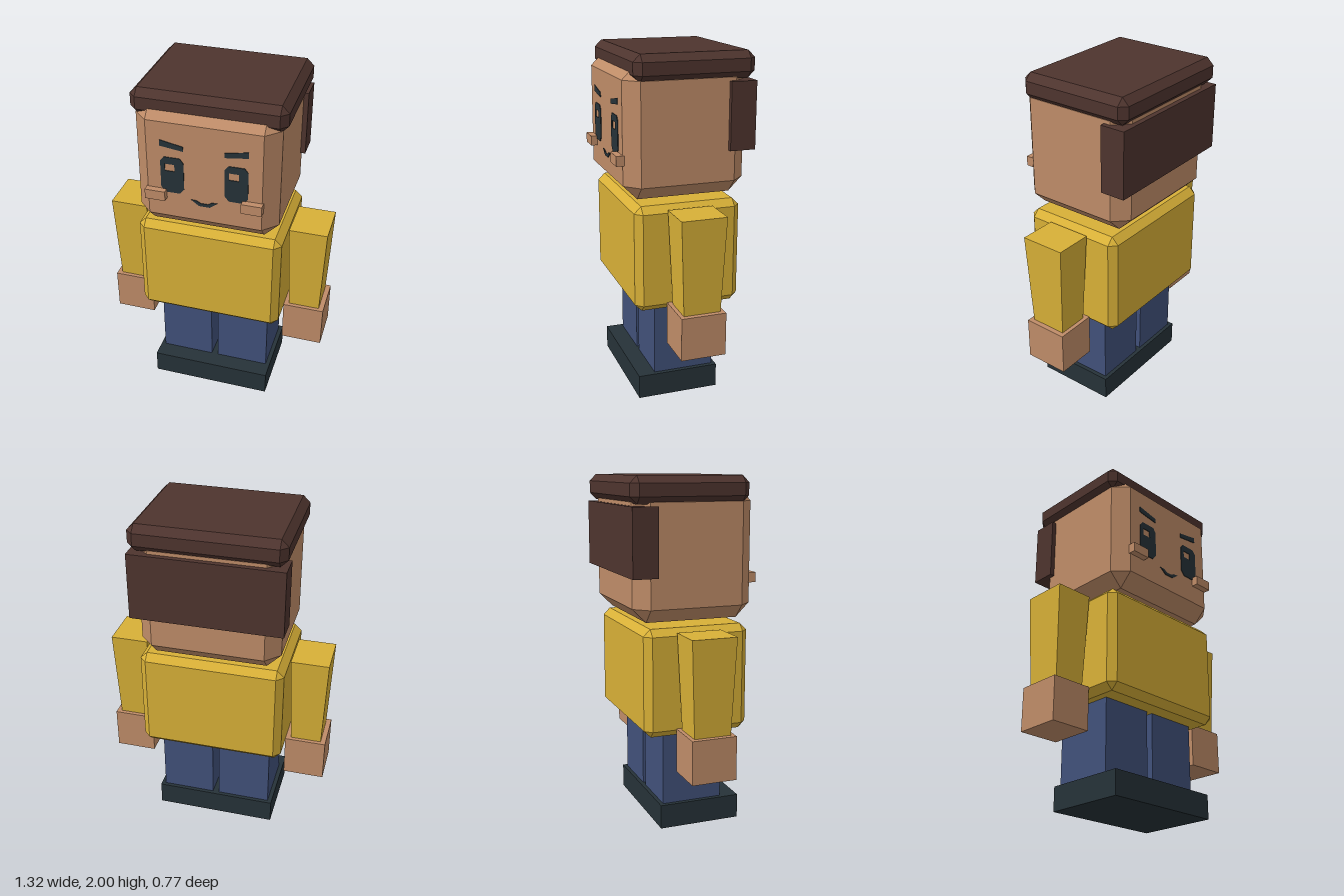
import * as THREE from 'three';
import { ConvexGeometry } from 'three/addons/geometries/ConvexGeometry.js';

function paint(name, color) {
  const m = new THREE.MeshStandardMaterial({ color });
  m.name = name;
  return m;
}

export function createModel() {
  const skin = paint('skin', 0xbf8c68);
  const hair = paint('hair brown', 0x4e342e);
  const shirt = paint('shirt yellow', 0xd8b037);
  const denim = paint('trouser blue', 0x41517a);
  const dark = paint('dark slate', 0x263238);

  const model = new THREE.Group();
  model.name = 'blockyMan';
  const figure = new THREE.Group();
  figure.name = 'figure';
  figure.position.z = -0.005;
  model.add(figure);

  function add(name, geometry, material) {
    const mesh = new THREE.Mesh(geometry, material);
    mesh.name = name;
    figure.add(mesh);
    return mesh;
  }

  // Plain box given by its limits on each axis
  function box(x0, x1, y0, y1, z0, z1) {
    return new THREE.BoxGeometry(x1 - x0, y1 - y0, z1 - z0)
      .translate((x0 + x1) / 2, (y0 + y1) / 2, (z0 + z1) / 2);
  }

  // Box with all edges cut at 45 degrees
  function chamferBox(x0, x1, y0, y1, z0, z1, c) {
    const h = [(x1 - x0) / 2, (y1 - y0) / 2, (z1 - z0) / 2];
    const points = [];
    for (const sx of [-1, 1]) for (const sy of [-1, 1]) for (const sz of [-1, 1]) {
      for (let axis = 0; axis < 3; axis++) {
        const p = h.map((v, i) => (i === axis ? v : v - c));
        points.push(new THREE.Vector3(sx * p[0], sy * p[1], sz * p[2]));
      }
    }
    return new ConvexGeometry(points)
      .translate((x0 + x1) / 2, (y0 + y1) / 2, (z0 + z1) / 2);
  }

  // Thin painted plate on the front of the head
  function plate(points, hole) {
    const toVectors = (list) => list.map(([x, y]) => new THREE.Vector2(x, y));
    const shape = new THREE.Shape(toVectors(points));
    if (hole) shape.holes.push(new THREE.Path(toVectors(hole)));
    return new THREE.ExtrudeGeometry(shape, { depth: 0.004, bevelEnabled: false })
      .translate(0, 0, 0.35);
  }

  // Body
  add('shoes', box(-0.36, 0.36, 0, 0.14, -0.2, 0.28), dark);
  add('torso', chamferBox(-0.42, 0.42, 0.565, 1.18, -0.308, 0.308, 0.04), shirt);

  // Head and hair
  add('head', chamferBox(-0.4, 0.4, 1.205, 1.94, -0.35, 0.35, 0.08), skin);
  add('hairTop', chamferBox(-0.428, 0.428, 1.85, 2, -0.379, 0.308, 0.04), hair);
  add('hairBack', box(-0.428, 0.428, 1.46, 1.84, -0.379, -0.232), hair);

  for (const side of [1, -1]) {
    const label = side > 0 ? 'left' : 'right';

    // Legs
    add(label + 'Leg', box(0.02, 0.335, 0.14, 0.58, -0.178, 0.178), denim)
      .position.x = side > 0 ? 0 : -0.355;

    // Arm narrowing towards the hand
    const sleeve = new THREE.BoxGeometry(0.22, 0.56, 0.26);
    const pos = sleeve.attributes.position;
    for (let i = 0; i < pos.count; i++) {
      if (pos.getY(i) < 0) {
        pos.setX(i, pos.getX(i) * 0.82);
        pos.setZ(i, pos.getZ(i) * 0.82);
      }
    }
    sleeve.computeVertexNormals();
    add(label + 'Arm', sleeve, shirt).position.set(side * 0.54, 0.88, 0);
    add(label + 'Hand', new THREE.BoxGeometry(0.24, 0.25, 0.26), skin)
      .position.set(side * 0.54, 0.487, 0);

    // Cheek
    add(label + 'Cheek', new THREE.BoxGeometry(0.115, 0.057, 0.046), skin)
      .position.set(side * 0.27, 1.428, 0.365);

    // Eye with a square glint cut out, set to the same side on both eyes
    const outline = [[-0.065, 1.47], [-0.04, 1.44], [0.04, 1.44], [0.065, 1.47],
      [0.065, 1.63], [0.045, 1.656], [-0.045, 1.656], [-0.065, 1.63]];
    const glint = [[-0.04, 1.573], [-0.04, 1.615], [0.014, 1.615], [0.014, 1.573]];
    add(label + 'Eye', plate(outline, glint), dark).position.x = side * 0.178;

    // Eyebrow, lower towards the nose
    add(label + 'Eyebrow', plate([[0.113, 1.73], [0.113, 1.703], [0.243, 1.72], [0.243, 1.755]]
      .map(([x, y]) => [side * x, y])), dark);
  }

  // Smile
  add('mouth', plate([[-0.075, 1.413], [-0.03, 1.38], [0.03, 1.38], [0.075, 1.413],
    [0.042, 1.411], [0.02, 1.398], [-0.02, 1.398], [-0.042, 1.411]]), dark);

  return model;
}
